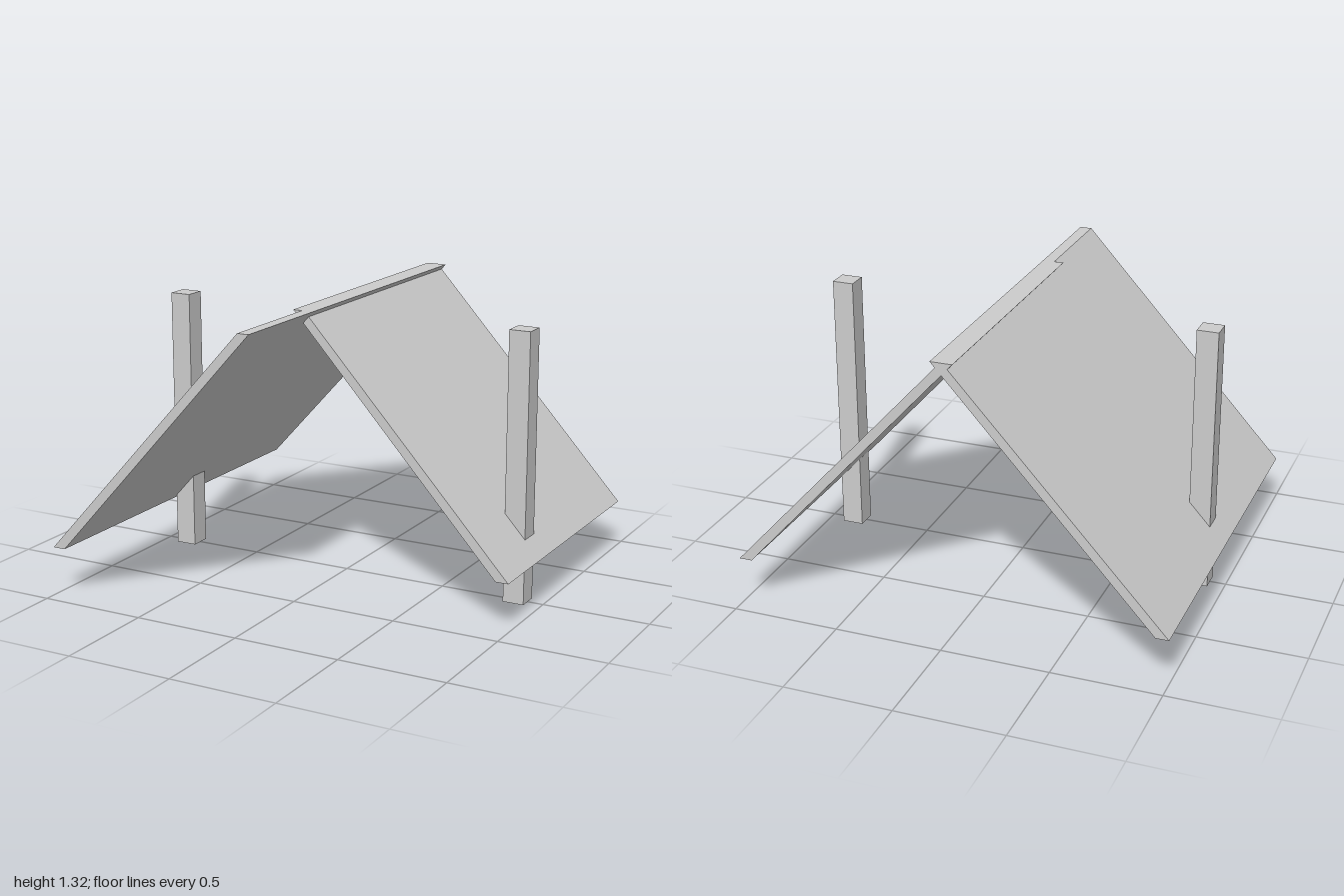
import * as THREE from 'three';

const material = new THREE.MeshStandardMaterial({ color: 0xcccccc, flatShading: true });

// Sloped slab with level-cut eave and ridge ends; side is +1 (left) or -1 (right)
function roofSlab(name, side, zBack, zFront) {
  const profile = [[1, 0.225], [0.005, 1.315], [-0.05, 1.315], [0.94, 0.225]];
  const shape = new THREE.Shape(profile.map(([x, y]) => new THREE.Vector2(x * side, y)));
  const geometry = new THREE.ExtrudeGeometry(shape, { depth: zFront - zBack, bevelEnabled: false });
  geometry.translate(0, 0, zBack);
  const mesh = new THREE.Mesh(geometry, material);
  mesh.name = name;
  return mesh;
}

// Square upright passing through a slab near its eave
function post(name, side) {
  const mesh = new THREE.Mesh(new THREE.BoxGeometry(0.1, 1.25, 0.1), material);
  mesh.position.set(side * 0.875, 0.625, 0);
  mesh.name = name;
  return mesh;
}

export function createModel() {
  const model = new THREE.Group();
  model.name = 'roofFrame';
  model.add(
    roofSlab('rightRoofSlab', -1, -0.935, 0.935), // full length
    roofSlab('leftRoofSlab', 1, -0.935, 0.4), // shorter at the front
    post('rightPost', -1),
    post('leftPost', 1),
  );
  return model;
}
